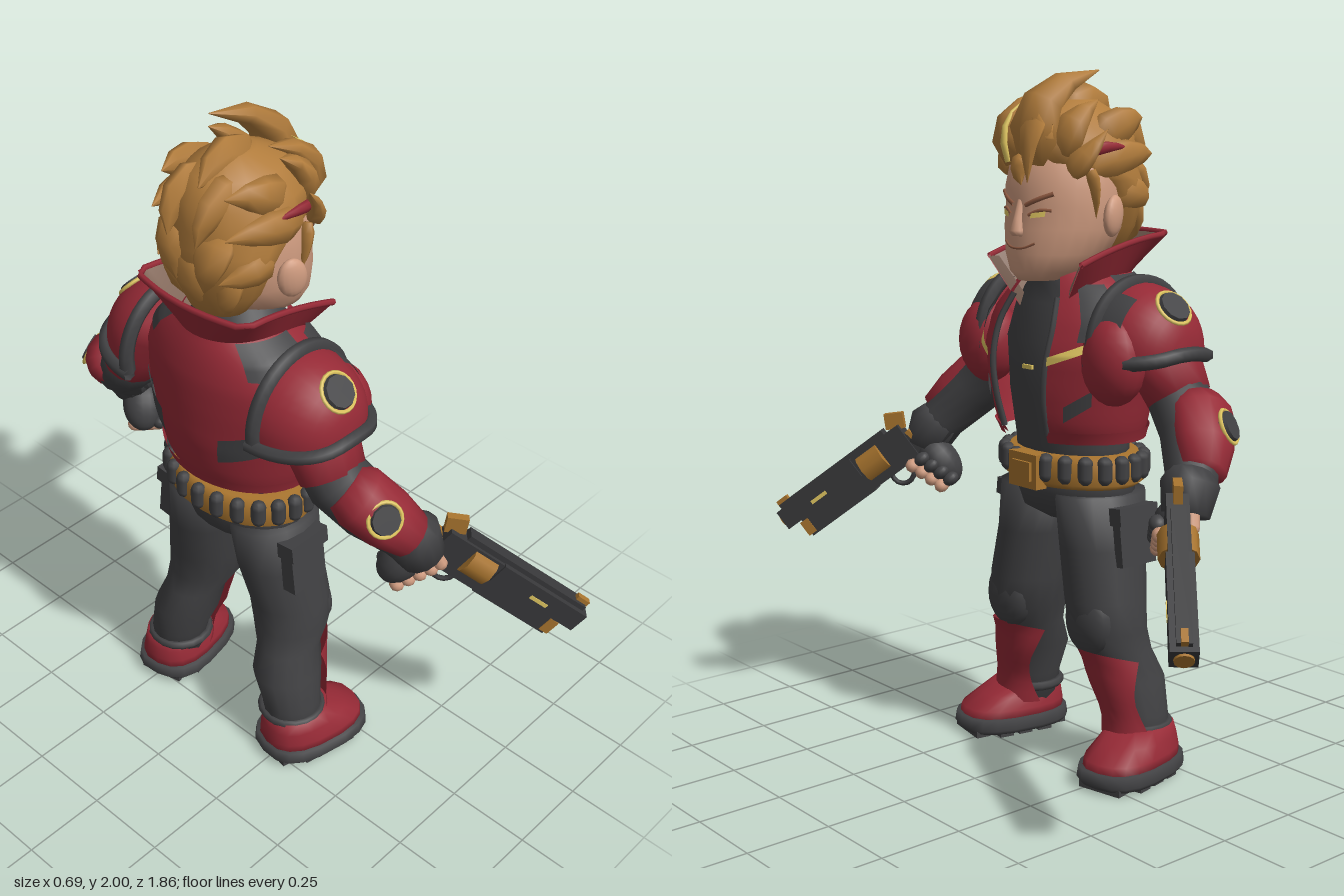
import * as THREE from 'three';

const V = (x, y, z) => new THREE.Vector3(x, y, z);
const material = (name, color, open) => {
  const m = new THREE.MeshStandardMaterial({ color });
  m.name = name;
  if (open) m.side = THREE.DoubleSide;
  return m;
};

// Closed skin over elliptical rings [x, y, z, rx, rz]; flat keeps the rings horizontal (rows rise in y)
function loft(rows, { flat = false, seg = 14, p = 1 } = {}) {
  const pos = [], idx = [], n = rows.length;
  const c = rows.map(r => V(r[0], r[1], r[2]));
  const span = c[n - 1].clone().sub(c[0]).normalize();
  const ref = Math.abs(span.z) > 0.75 ? V(1, 0, 0) : V(0, 0, 1);
  const bend = v => Math.sign(v) * Math.abs(v) ** p;
  rows.forEach((r, i) => {
    const t = flat ? V(0, 1, 0) : c[Math.min(i + 1, n - 1)].clone().sub(c[Math.max(i - 1, 0)]).normalize();
    const A = ref.clone().addScaledVector(t, -ref.dot(t)).normalize(), B = t.clone().cross(A);
    for (let j = 0; j < seg; j++) {
      const a = j / seg * Math.PI * 2;
      const q = c[i].clone().addScaledVector(A, bend(Math.cos(a)) * r[4]).addScaledVector(B, bend(Math.sin(a)) * r[3]);
      pos.push(q.x, q.y, q.z);
      if (i < n - 1) {
        const k = i * seg + j, l = i * seg + (j + 1) % seg;
        idx.push(k, l, k + seg, l, l + seg, k + seg);
      }
    }
  });
  pos.push(...c[0].toArray(), ...c[n - 1].toArray());
  for (let j = 0; j < seg; j++) {
    const k = (j + 1) % seg, e = (n - 1) * seg;
    idx.push(n * seg, k, j, n * seg + 1, e + j, e + k);
  }
  return build(pos, idx);
}
function build(pos, idx) {
  const g = new THREE.BufferGeometry();
  g.setAttribute('position', new THREE.Float32BufferAttribute(pos, 3));
  g.setIndex(idx);
  g.computeVertexNormals();
  return g;
}
// Open grid surface from a point function of u and v
function sheet(fn, nu, nv) {
  const pos = [], idx = [];
  for (let j = 0; j <= nv; j++) for (let i = 0; i <= nu; i++) {
    pos.push(...fn(i / nu, j / nv).toArray());
    if (i < nu && j < nv) {
      const k = j * (nu + 1) + i;
      idx.push(k, k + 1, k + nu + 1, k + 1, k + nu + 2, k + nu + 1);
    }
  }
  return build(pos, idx);
}
// Point on a flat loft at angle a from the front and height y
function surf(rows, a, y, off = 0) {
  let i = 0;
  while (i < rows.length - 2 && rows[i + 1][1] < y) i++;
  const t = THREE.MathUtils.clamp((y - rows[i][1]) / (rows[i + 1][1] - rows[i][1]), 0, 1);
  const [x, , z, rx, rz] = rows[i].map((v, k) => v + (rows[i + 1][k] - v) * t);
  return V(x + Math.sin(a) * (rx + off), y, z + Math.cos(a) * (rz + off));
}
const patch = (rows, a0, a1, y0, y1, off, lean = 0) => sheet((u, v) =>
  surf(rows, a0 + (a1 - a0) * u, y0 + (y1 - y0) * v + lean * u, off), 8, 6);
const put = (g, x, y, z, rx = 0, ry = 0, rz = 0) => g.applyMatrix4(
  new THREE.Matrix4().makeRotationFromEuler(new THREE.Euler(rx, ry, rz)).setPosition(x, y, z));
const aim = (g, pos, dir) => g.applyQuaternion(
  new THREE.Quaternion().setFromUnitVectors(V(0, 1, 0), dir.clone().normalize())).translate(pos.x, pos.y, pos.z);
const ball = (rx, ry, rz) => new THREE.SphereGeometry(1, 16, 12).scale(rx, ry, rz);
const box = (x, y, z) => new THREE.BoxGeometry(x, y, z);
const tube = (pts, r) => new THREE.TubeGeometry(new THREE.CatmullRomCurve3(pts), 24, r, 6);
const steps = (n, fn) => Array.from({ length: n + 1 }, (_, i) => fn(i / n));
// Tapered lock of hair through base, middle and tip
function lock(b, m, t, w, d = w * 0.6) {
  const curve = new THREE.QuadraticBezierCurve3(V(...b), V(...m), V(...t));
  return loft([0.75, 1, 0.85, 0.55, 0.03].map((k, i) => [...curve.getPoint(i / 4).toArray(), w * k, d * k]), { seg: 7 });
}
function mirror(g) {
  const m = g.clone().scale(-1, 1, 1);
  const a = Array.from(m.index.array);
  for (let i = 0; i < a.length; i += 3) [a[i], a[i + 1]] = [a[i + 1], a[i]];
  m.setIndex(a);
  return m;
}

export function createModel() {
  const root = new THREE.Group(), body = new THREE.Group();
  root.name = 'gunslinger';
  body.name = 'body';
  body.rotation.y = Math.PI / 2;
  root.add(body);
  const red = material('crimson leather', 0x962a36, true), black = material('charcoal cloth', 0x414143, true);
  const skin = material('skin', 0xd09c80), hair = material('golden brown hair', 0xb17c3c);
  const brass = material('brass', 0xa8742e), yellow = material('pale yellow trim', 0xe2c862, true);
  const lining = material('collar lining', 0x846a5c, true), brown = material('brow brown', 0x8e5a42, true);
  const steel = material('gun metal', 0x38383a);
  const add = (name, g, m) => {
    const mesh = new THREE.Mesh(g, m);
    mesh.name = name;
    body.add(mesh);
  };
  const both = (name, g, m) => {
    add('left ' + name, g, m);
    add('right ' + name, mirror(g), m);
  };
  const medal = (name, pos, dir, r) => {
    both(name, aim(new THREE.CylinderGeometry(r * 0.9, r * 1.05, 0.024, 10), pos, dir), black);
    both(name + ' trim', aim(new THREE.TorusGeometry(r * 1.06, 0.006, 5, 20).rotateX(Math.PI / 2), pos, dir), yellow);
  };

  // Torso, neck and hips
  add('shirt', loft([[0, 0.84, -0.12, 0.2, 0.14], [0, 0.95, -0.12, 0.19, 0.14], [0, 1.1, -0.11, 0.2, 0.155],
    [0, 1.25, -0.12, 0.22, 0.165], [0, 1.36, -0.13, 0.2, 0.14], [0, 1.42, -0.12, 0.13, 0.12], [0, 1.5, -0.1, 0.09, 0.1]], { flat: true, seg: 20 }), black);
  add('shirt mark', put(box(0.04, 0.012, 0.008), 0, 1.18, 0.049), yellow);
  add('hips', loft([[0, 0.73, -0.12, 0.06, 0.08], [0, 0.765, -0.12, 0.18, 0.135], [0, 0.82, -0.12, 0.215, 0.15],
    [0, 0.9, -0.12, 0.21, 0.15]], { flat: true, seg: 20 }), black);

  // Open jacket with panels
  const jacket = [[0, 0.98, -0.12, 0.23, 0.18], [0, 1.02, -0.115, 0.245, 0.2], [0, 1.12, -0.115, 0.265, 0.215],
    [0, 1.23, -0.115, 0.295, 0.215], [0, 1.32, -0.13, 0.29, 0.195], [0, 1.4, -0.14, 0.22, 0.165], [0, 1.45, -0.14, 0.14, 0.14]];
  const shell = (y0, y1, off, rows) => sheet((u, v) => {
    const gap = 0.4 + 0.15 * Math.max(0, v - 0.6);
    return surf(jacket, gap + (Math.PI * 2 - gap * 2) * u, y0 + (y1 - y0) * v, off);
  }, 40, rows);
  add('jacket', shell(0.98, 1.45, 0, 16), red);
  add('jacket hem', shell(0.975, 1.01, 0.008, 2), red);
  both('jacket front edge', tube([1, 1.1, 1.2, 1.3, 1.38].map(y => surf(jacket, 0.41, y, 0)), 0.009), black);
  both('chest slash', patch(jacket, 0.44, 0.86, 1.2, 1.225, 0.012, 0.045), yellow);
  both('chest panel', patch(jacket, 0.65, 0.98, 1.04, 1.085, 0.006, 0.05), black);
  both('back panel', patch(jacket, 2.2, 2.75, 1.13, 1.21, 0.007, -0.05), black);
  both('yoke panel', patch(jacket, 1.4, 2.4, 1.36, 1.44, 0.008), black);
  both('shoulder strap', patch(jacket, 0.72, 1.15, 1.27, 1.42, 0.014), black);
  both('chest side', put(ball(0.1, 0.125, 0.085), 0.272, 1.22, -0.03), red);

  // Standing collar, high behind, low and flared in front
  const collarPoint = (u, v, off) => {
    const a = 0.66 + (Math.PI * 2 - 1.32) * u, f = (Math.cos(a) + 1) / 2, s = Math.sin(a);
    const top = Math.sign(s) * Math.min(1, Math.abs(s) * 1.65) * 0.202;
    return V((s * 0.14) * (1 - v) + top * v - s * off, 1.44 - 0.14 * f ** 2 + v * (0.11 + 0.05 * f ** 2),
      -0.145 + Math.cos(a) * (0.15 + 0.045 * v + 0.03 * f - off));
  };
  add('collar', sheet((u, v) => collarPoint(u, v, 0), 28, 4), red);
  add('collar lining', sheet((u, v) => collarPoint(u, v, 0.01), 28, 4), lining);
  add('collar rim', tube(steps(24, u => collarPoint(u, 1, 0.004)), 0.009), red);
  both('lapel lining', sheet((u, v) => collarPoint(0.002, v, 0.004).add(V(-0.035 * u * (1 - v * 0.3), 0, 0.004 - 0.02 * u)), 3, 4), lining);

  // Head and face
  const head = [[0, 1.425, 0.0, 0.055, 0.07], [0, 1.45, -0.02, 0.1, 0.105], [0, 1.5, -0.06, 0.142, 0.15],
    [0, 1.57, -0.085, 0.165, 0.172], [0, 1.63, -0.09, 0.168, 0.168], [0, 1.68, -0.09, 0.168, 0.172], [0, 1.78, -0.1, 0.155, 0.16], [0, 1.86, -0.12, 0.08, 0.09]];
  add('head', loft(head, { flat: true, seg: 24 }), skin);
  add('nose', loft([[0, 1.55, 0.085, 0.022, 0.012], [0, 1.565, 0.088, 0.024, 0.024], [0, 1.6, 0.078, 0.014, 0.018],
    [0, 1.65, 0.07, 0.012, 0.01]], { flat: true, seg: 10 }), skin);
  const faceLine = (pts, r) => tube(pts.map(([a, y]) => surf(head, a, y)), r);
  both('eyebrow', faceLine([[0.15, 1.635], [0.4, 1.652], [0.68, 1.668]], 0.007), brown);
  both('eyelid', faceLine([[0.22, 1.608], [0.42, 1.622], [0.64, 1.622]], 0.005), brown);
  both('eye', patch(head, 0.28, 0.54, 1.6, 1.614, 0.004, 0.006), yellow);
  add('mouth', faceLine([[-0.42, 1.532], [-0.2, 1.519], [0, 1.516], [0.2, 1.519], [0.42, 1.532]], 0.0035), brown);
  both('ear', put(ball(0.022, 0.058, 0.042), 0.178, 1.605, -0.11, -0.15, 0.35), skin);

  // Hair cap and swept locks
  add('hair cap', loft([[0, 1.5, -0.2, 0.09, 0.07], [0, 1.57, -0.2, 0.14, 0.095], [0, 1.65, -0.195, 0.17, 0.115], [0, 1.7, -0.17, 0.178, 0.14],
    [0, 1.75, -0.12, 0.176, 0.185], [0, 1.82, -0.115, 0.16, 0.185], [0, 1.88, -0.12, 0.115, 0.14], [0, 1.92, -0.13, 0.05, 0.06]], { flat: true, seg: 18 }), hair);
  const pairs = [
    [[0.13, 1.73, 0.0], [0.18, 1.76, 0.0], [0.197, 1.84, -0.07], 0.04], [[0.09, 1.78, 0.0], [0.13, 1.87, 0.01], [0.125, 1.92, -0.1], 0.06],
    [[0.11, 1.8, -0.1], [0.16, 1.87, -0.17], [0.11, 1.87, -0.28], 0.06], [[0.14, 1.74, -0.06], [0.185, 1.78, -0.18], [0.13, 1.77, -0.3], 0.055],
    [[0.13, 1.68, -0.15], [0.175, 1.66, -0.22], [0.11, 1.64, -0.305], 0.055], [[0.05, 1.84, -0.18], [0.07, 1.85, -0.3], [0.05, 1.73, -0.325], 0.065],
    [[0.06, 1.74, -0.24], [0.08, 1.7, -0.32], [0.05, 1.59, -0.3], 0.065], [[0.09, 1.66, -0.23], [0.11, 1.59, -0.28], [0.07, 1.51, -0.25], 0.05],
    [[0.16, 1.73, -0.04], [0.175, 1.69, -0.05], [0.163, 1.6, -0.06], 0.025]];
  pairs.forEach(([b, m, t, w], i) => both('hair lock ' + (i + 1), lock(b, m, t, w), hair));
  const singles = [
    [[0.02, 1.75, 0.03], [0.03, 1.95, 0.11], [0.06, 2.0, -0.16], 0.085], [[-0.06, 1.75, 0.03], [-0.1, 1.89, 0.1], [-0.085, 1.94, -0.1], 0.065],
    [[0.05, 1.82, 0.0], [0.09, 1.93, 0.13], [0.09, 1.7, 0.125], 0.055], [[0, 1.76, 0.05], [-0.02, 1.74, 0.075], [0.015, 1.69, 0.085], 0.04],
    [[0, 1.84, -0.1], [0, 1.95, -0.18], [-0.02, 1.87, -0.28], 0.08], [[0, 1.7, -0.25], [0, 1.6, -0.325], [0, 1.51, -0.25], 0.065]];
  singles.forEach(([b, m, t, w], i) => add('hair crest ' + (i + 1), lock(b, m, t, w), hair));
  add('hair streak', lock([-0.05, 1.75, 0.078], [-0.075, 1.86, 0.105], [-0.06, 1.92, 0.01], 0.013), yellow);
  both('red hair streak', lock([0.165, 1.78, -0.03], [0.187, 1.8, -0.08], [0.175, 1.79, -0.17], 0.018), red);

  // Cartridge belt and buckle
  add('belt', loft([[0, 0.84, -0.125, 0.22, 0.16], [0, 0.855, -0.125, 0.24, 0.175], [0, 0.915, -0.125, 0.238, 0.173],
    [0, 0.935, -0.125, 0.215, 0.155]], { flat: true, seg: 28 }), brass);
  for (let i = 1; i < 22; i++) {
    const a = i / 22 * Math.PI * 2, x = Math.sin(a) * 0.233, z = -0.125 + Math.cos(a) * 0.17;
    add('cartridge ' + i, put(new THREE.CapsuleGeometry(0.022, 0.04, 3, 8), x, 0.898, z), black);
  }
  add('buckle', put(box(0.12, 0.1, 0.04), 0, 0.885, 0.05), brass);
  add('buckle rim', put(box(0.08, 0.055, 0.012), 0, 0.885, 0.072), brass);

  // Legs, pouches and shin guards
  const leg = [[0.255, 0.06, -0.16, 0.085, 0.095], [0.24, 0.18, -0.165, 0.085, 0.09], [0.212, 0.28, -0.155, 0.098, 0.108], [0.195, 0.36, -0.13, 0.09, 0.1],
    [0.178, 0.43, -0.1, 0.11, 0.118], [0.168, 0.52, -0.1, 0.115, 0.122], [0.138, 0.67, -0.115, 0.115, 0.135], [0.12, 0.82, -0.12, 0.115, 0.145]];
  both('leg', loft(leg, { flat: true, seg: 16 }), black);
  both('knee pad', put(ball(0.088, 0.1, 0.05), 0.178, 0.46, -0.03), black);
  both('shin guard', sheet((u, v) => surf(leg, (u - 0.5) * (2.6 - 0.9 * Math.sin(v * Math.PI)) + 0.05, 0.1 + 0.25 * v + 0.03 * v * Math.sin(u * Math.PI), 0.018), 10, 8), red);
  both('boot cuff', put(new THREE.TorusGeometry(0.089, 0.014, 6, 18).rotateX(Math.PI / 2), 0.242, 0.145, -0.165), black);
  both('thigh pouch', put(box(0.06, 0.15, 0.13), 0.24, 0.7, -0.13, 0, 0, 0.12), black);
  both('pouch flap', put(box(0.075, 0.05, 0.145), 0.237, 0.77, -0.13, 0, 0, 0.12), black);

  // Boots
  const foot = g => g.rotateY(0.2).translate(0.272, 0, -0.11);
  both('boot', foot(loft([[0, 0.04, 0, 0.109, 0.167], [0, 0.08, -0.003, 0.106, 0.162], [0, 0.115, -0.03, 0.093, 0.13],
    [0, 0.15, -0.055, 0.083, 0.09]], { flat: true, seg: 18, p: 0.8 })), red);
  both('sole', foot(loft([[0, 0.012, 0, 0.112, 0.168], [0, 0.025, 0, 0.121, 0.178], [0, 0.058, 0, 0.117, 0.173]], { flat: true, seg: 18, p: 0.75 })), black);
  for (let i = 0; i < 5; i++)
    both('tread ' + (i + 1), foot(put(box(i % 4 ? 0.2 : 0.14, 0.02, 0.045), 0, 0.01, -0.13 + i * 0.066)), black);

  // Arms, hanging from the shoulder and then bending out and forward
  both('upper sleeve', loft([[0.24, 1.34, -0.15, 0.08, 0.1], [0.3, 1.28, -0.155, 0.09, 0.115], [0.338, 1.2, -0.165, 0.092, 0.112],
    [0.385, 1.12, -0.17, 0.082, 0.1]]), red);
  both('elbow', loft([[0.35, 1.17, -0.17, 0.08, 0.094], [0.4, 1.1, -0.165, 0.084, 0.094], [0.475, 1.03, -0.13, 0.08, 0.09],
    [0.545, 0.94, -0.06, 0.07, 0.075], [0.57, 0.86, -0.015, 0.062, 0.062]]), black);
  both('forearm guard', loft([[0.44, 1.11, -0.18, 0.06, 0.075], [0.472, 1.085, -0.165, 0.08, 0.092], [0.532, 1.015, -0.115, 0.076, 0.088],
    [0.572, 0.955, -0.068, 0.065, 0.07]]), red);
  both('glove cuff', loft([[0.55, 0.95, -0.055, 0.06, 0.065], [0.56, 0.925, -0.04, 0.078, 0.084], [0.575, 0.85, -0.01, 0.064, 0.068]]), black);
  medal('elbow medallion', V(0.57, 1.065, -0.172), V(0.8, 0.4, -0.4), 0.045);

  // Shoulder pads arched from front to back, with inner and lower rims
  const padPoint = (u, v, off = 0) => {
    const phi = (u - 0.5) * 3.5, k = Math.cos(v * Math.PI / 2) ** 0.8;
    return V(0.225 + (0.2 + off) * Math.sin(v * Math.PI / 2), 1.25 + (0.178 + off) * Math.cos(phi) * k, -0.15 - (0.172 + off) * Math.sin(phi) * k);
  };
  both('shoulder pad', sheet((u, v) => padPoint(u, v), 18, 10), red);
  both('pad inner rim', tube(steps(14, u => padPoint(u, 0.05)), 0.022), black);
  both('pad lower rim', tube([...steps(8, t => padPoint(0, t * 0.92, 0.008)), ...steps(8, t => padPoint(1, (1 - t) * 0.92, 0.008))], 0.02), black);
  both('pad front inlay', sheet((u, v) => padPoint(0.14 + 0.2 * u, 0.1 + 0.22 * v, 0.006), 6, 6), black);
  medal('shoulder medallion', V(0.378, 1.366, -0.15), V(0.75, 0.66, 0), 0.05);

  // Revolvers and hands, in a frame along the barrel
  const d = V(0.595, -0.6, 0.53).normalize(), up = V(0, 1, 0).addScaledVector(d, -d.y).normalize();
  const frame = new THREE.Matrix4().makeBasis(d, up, d.clone().cross(up)).setPosition(0.588, 0.872, 0.038);
  const gun = (name, g, m) => both(name, g.applyMatrix4(frame), m);
  gun('gun barrel', put(box(0.3, 0.065, 0.072), 0.335, 0.035, 0), steel);
  gun('barrel lug', put(box(0.26, 0.07, 0.058), 0.305, -0.025, 0), steel);
  gun('barrel rib', put(box(0.42, 0.02, 0.04), 0.26, 0.072, 0), steel);
  gun('gun frame', put(box(0.21, 0.12, 0.06), 0.1, 0.005, 0), steel);
  gun('gun drum', put(new THREE.CylinderGeometry(0.054, 0.054, 0.08, 10), 0.13, 0.015, 0, 0, 0, Math.PI / 2), brass);
  gun('muzzle', put(new THREE.CylinderGeometry(0.026, 0.026, 0.02, 12), 0.482, 0.035, 0, 0, 0, Math.PI / 2), brass);
  gun('front sight', put(box(0.04, 0.02, 0.018), 0.455, 0.085, 0), brass);
  gun('lug tip', put(box(0.03, 0.05, 0.062), 0.43, -0.028, 0), brass);
  gun('barrel inlay', put(box(0.06, 0.012, 0.076), 0.34, 0.028, 0), yellow);
  gun('hammer', put(box(0.06, 0.05, 0.024), 0.0, 0.08, 0, 0, 0, 0.5), brass);
  gun('grip', put(box(0.055, 0.2, 0.046), -0.005, -0.075, 0, 0, 0, -0.2), steel);
  gun('grip spine', put(box(0.014, 0.2, 0.05), -0.036, -0.065, 0, 0, 0, -0.2), brass);
  gun('trigger guard', put(new THREE.TorusGeometry(0.036, 0.008, 6, 14), 0.08, -0.065, 0), steel);
  gun('palm', put(ball(0.058, 0.085, 0.062), -0.04, -0.105, -0.005), black);
  for (let i = 0; i < 4; i++) {
    const x = 0.03 - i * 0.012, y = -0.065 - i * 0.034;
    gun('finger ' + (i + 1), put(new THREE.CapsuleGeometry(0.022, 0.075, 3, 8), x, y, 0.004, Math.PI / 2), skin);
    gun('knuckle ' + (i + 1), put(ball(0.026, 0.02, 0.024), x - 0.04, y, 0.046), black);
  }
  gun('thumb', put(new THREE.CapsuleGeometry(0.02, 0.05, 3, 8), 0.01, -0.02, -0.042, 0, 0, 1.2), skin);
  return root;
}
